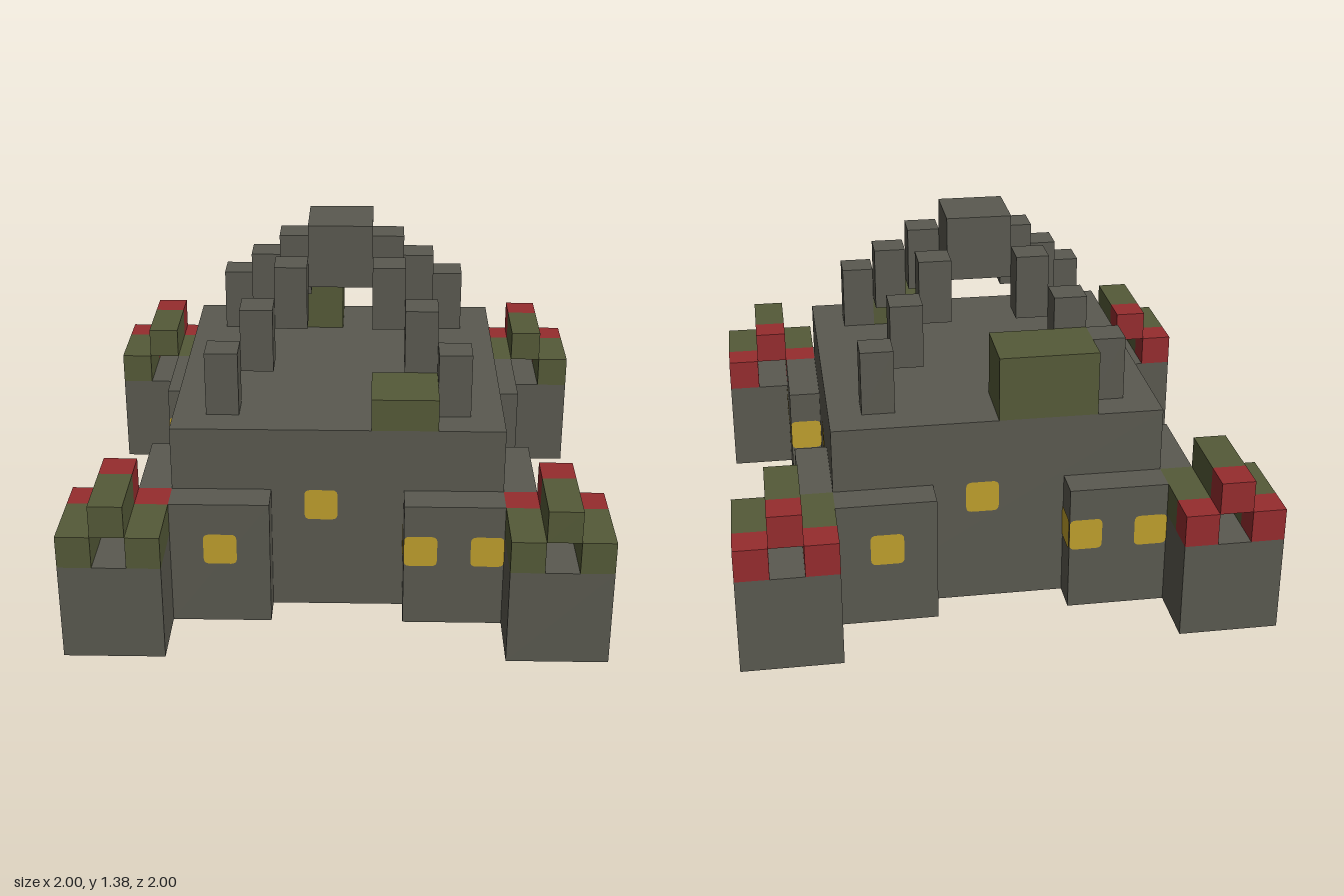
import * as THREE from 'three';

const U = 0.125; // one block

const mat = (name, color) => {
  const m = new THREE.MeshStandardMaterial({ color });
  m.name = name;
  return m;
};

export function createModel() {
  const stone = mat('stone grey', 0x5a5950);
  const moss = mat('moss green', 0x555a38);
  const red = mat('red', 0x962c2e);
  const amber = mat('window amber', 0xbf9f2d);

  const model = new THREE.Group();
  model.name = 'fortress';

  // Box from its minimum and maximum corner, in blocks
  const block = (name, material, a, b, parent = model) => {
    const size = b.map((v, i) => Math.abs(v - a[i]) * U);
    const mesh = new THREE.Mesh(new THREE.BoxGeometry(...size), material);
    mesh.position.set(...b.map((v, i) => ((v + a[i]) / 2) * U));
    mesh.name = name;
    parent.add(mesh);
    return mesh;
  };

  // Keep
  block('keep', stone, [-5, 0, -5], [5, 6, 5]);

  for (const sx of [-1, 1]) {
    for (const sz of [-1, 1]) {
      const corner = new THREE.Group();
      corner.name = 'corner';
      model.add(corner);

      // Corner tower and the two buttresses beside it
      block('cornerTower', stone, [5 * sx, 0, 5 * sz], [8 * sx, 3, 8 * sz], corner);
      block('buttress', stone, [2 * sx, 0, 5 * sz], [5 * sx, 4, 6 * sz], corner);
      block('buttress', stone, [5 * sx, 0, 2 * sz], [6 * sx, 4, 5 * sz], corner);

      // Three roof beams with red rear ends
      const z0 = sz > 0 ? 5 : -8;
      for (const [i, y] of [[5, 3], [6, 4], [7, 3]]) {
        block('beam', moss, [i * sx, y, z0 + 1], [(i + 1) * sx, y + 1, z0 + 3], corner);
        block('beamEnd', red, [i * sx, y, z0], [(i + 1) * sx, y + 1, z0 + 1], corner);
      }

      // Stepped diagonal rib rising to the crown
      for (let i = 1; i <= 3; i++) {
        block('ribStep', stone, [i * sx, 9 - i, i * sz], [(i + 1) * sx, 11 - i, (i + 1) * sz], corner);
      }
    }
  }

  // Crown and rooftop huts
  block('crown', stone, [-1, 9, -1], [1, 11, 1]);
  block('largeHut', moss, [-3, 6, -5], [0, 8, -3]);
  block('smallHut', moss, [1, 6, 3], [3, 7, 5]);

  // Window pane with slightly rounded corners
  const h = U / 2, r = 0.022;
  const pane = new THREE.Shape();
  pane.moveTo(-h + r, -h);
  pane.lineTo(h - r, -h).quadraticCurveTo(h, -h, h, -h + r);
  pane.lineTo(h, h - r).quadraticCurveTo(h, h, h - r, h);
  pane.lineTo(-h + r, h).quadraticCurveTo(-h, h, -h, h - r);
  pane.lineTo(-h, -h + r).quadraticCurveTo(-h, -h, -h + r, -h);
  const paneGeo = new THREE.ShapeGeometry(pane, 4);
  const gap = 0.003;

  // Windows on the four walls; neighbouring walls are mirrored
  for (let k = 0; k < 4; k++) {
    const f = k % 2 ? -1 : 1;
    const wall = new THREE.Group();
    wall.name = 'wallWindows';
    wall.rotation.y = (k * Math.PI) / 2;
    model.add(wall);
    const addPane = (x, y, z, turn = 0) => {
      const m = new THREE.Mesh(paneGeo, amber);
      m.name = 'window';
      m.position.set(x, y, z);
      m.rotation.y = turn;
      wall.add(m);
    };
    for (const [x, y, z] of [[-3.5, 2.5, 6], [-0.5, 3.5, 5], [2.5, 2.5, 6], [4.5, 2.5, 6]]) {
      addPane(f * x * U, y * U, z * U + gap);
    }
    // Pane around the inner edge of a buttress
    addPane(f * (2 * U - gap), 2.5 * U, 5.5 * U, (-f * Math.PI) / 2);
  }

  return model;
}
